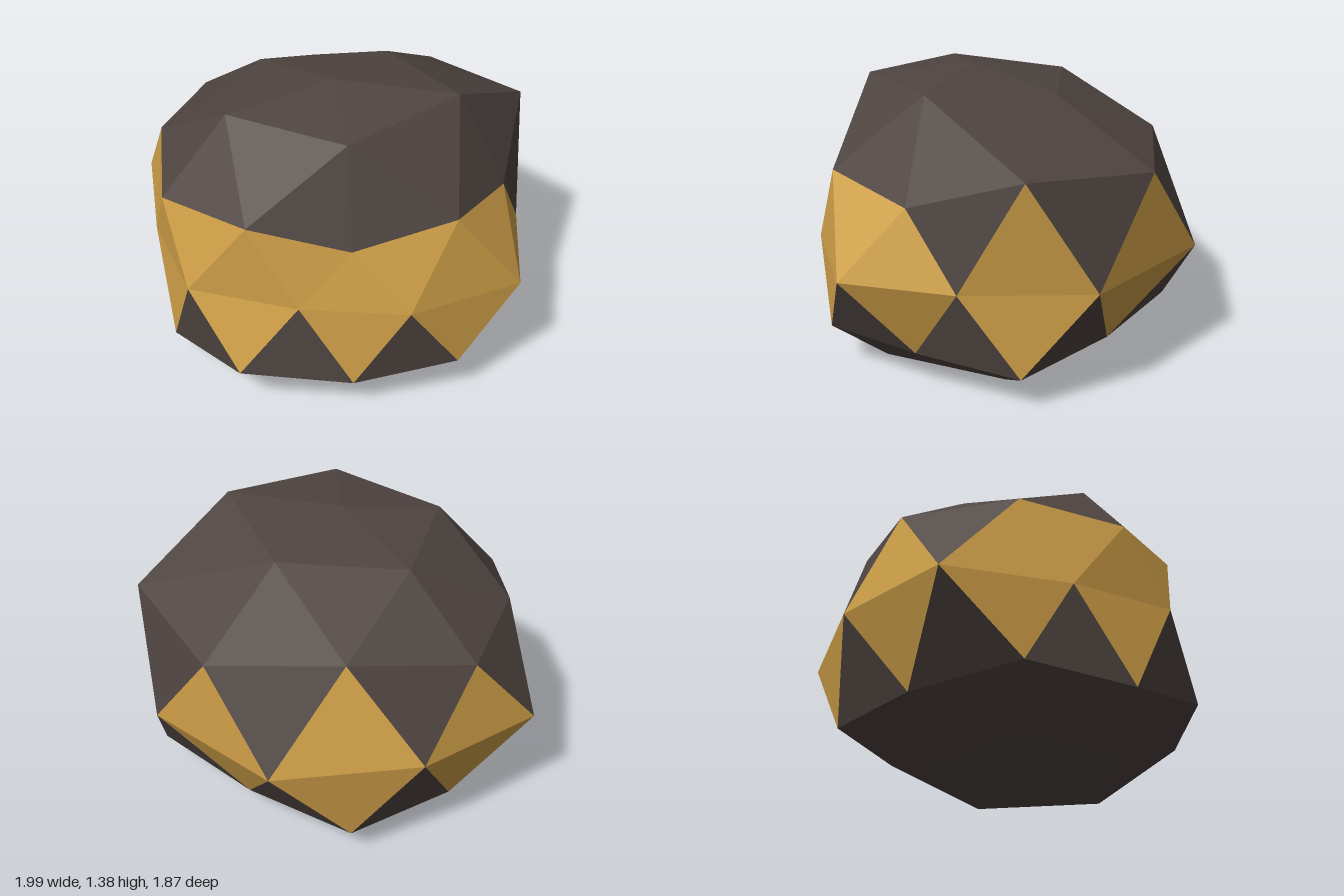
import * as THREE from 'three';

// Cross-section rings, ordered round the body from +x towards +z.
const topPole = [0.05, 1.38, 0.18];
const topRing = [[0.63, 1.37, 0.18], [0.22, 1.33, 0.65], [-0.37, 1.3, 0.46], [-0.37, 1.28, -0.13], [0.22, 1.31, -0.29]];
const shoulder = [
  [0.86, 0.93, 0.18], [0.7, 1.0, 0.61], [0.27, 0.88, 0.78], [-0.18, 0.98, 0.85], [-0.63, 0.94, 0.64],
  [-0.79, 1.02, 0.18], [-0.74, 0.99, -0.36], [-0.22, 1.07, -0.64], [0.38, 1.05, -0.79], [0.88, 1.12, -0.37],
];
const waist = [
  [0.99, 0.46], [0.54, 0.79], [0.05, 0.86], [-0.47, 0.83], [-0.77, 0.41],
  [-1, -0.14], [-0.59, -0.64], [0.05, -0.93], [0.71, -0.65], [0.93, -0.08],
].map(([x, z]) => [x, 0.59, z]);
const foot = [
  [0.81, 0.2, 0.18], [0.75, 0.23, 0.64], [0.3, 0.19, 0.85], [-0.21, 0.23, 0.94], [-0.62, 0.16, 0.66],
  [-0.83, 0.22, 0.2], [-0.65, 0.17, -0.32], [-0.27, 0.16, -0.72], [0.29, 0.16, -0.58], [0.84, 0.18, -0.34],
];
const baseRing = [[0.54, 0, 0.46], [-0.1, 0.03, 0.54], [-0.54, 0, 0.18], [-0.12, 0, -0.34], [0.57, 0, -0.17]];
const basePole = [0.05, 0, 0.18];

const at = (ring, i) => ring[(i + ring.length) % ring.length];
const middle = new THREE.Vector3(0, 0.65, 0.05);

// Adds one facet, turned so that it faces outwards.
function facet(list, a, b, c) {
  const [A, B, C] = [a, b, c].map((p) => new THREE.Vector3(...p));
  const normal = B.clone().sub(A).cross(C.clone().sub(A));
  const out = A.clone().add(B).add(C).divideScalar(3).sub(middle);
  list.push(...(normal.dot(out) > 0 ? [a, b, c] : [a, c, b]));
}

// Closes a ten-sided ring with a five-sided ring and a pole.
function cap(list, pole, ring, band, shift) {
  for (let k = 0; k < 5; k++) {
    const r = ring[k], next = at(ring, k + 1), m = 2 * k + shift;
    facet(list, pole, r, next);
    facet(list, r, next, at(band, m + 1));
    facet(list, r, at(band, m), at(band, m + 1));
    facet(list, r, at(band, m), at(band, m - 1));
  }
}

function makeMesh(name, list, material) {
  const geometry = new THREE.BufferGeometry();
  geometry.setAttribute('position', new THREE.Float32BufferAttribute(list.flat(), 3));
  geometry.computeVertexNormals();
  const mesh = new THREE.Mesh(geometry, material);
  mesh.name = name;
  return mesh;
}

export function createModel() {
  const stone = new THREE.MeshStandardMaterial({ color: 0x4f4541 });
  stone.name = 'darkStone';
  const gold = new THREE.MeshStandardMaterial({ color: 0xd0a048 });
  gold.name = 'gold';

  const crown = [], base = [], darkBand = [], goldBand = [];
  cap(crown, topPole, topRing, shoulder, 0);
  cap(base, basePole, baseRing, foot, 1);

  // Zigzag bands above and below the waist
  for (let j = 0; j < 10; j++) {
    const w = waist[j];
    facet(goldBand, at(waist, j - 1), w, shoulder[j]);
    facet(goldBand, at(waist, j - 1), w, foot[j]);
    facet(j < 5 ? goldBand : darkBand, w, shoulder[j], at(shoulder, j + 1));
    facet(darkBand, w, foot[j], at(foot, j + 1));
  }

  const group = new THREE.Group();
  group.name = 'facetedRock';
  group.add(
    makeMesh('crown', crown, stone),
    makeMesh('base', base, stone),
    makeMesh('darkFacets', darkBand, stone),
    makeMesh('goldFacets', goldBand, gold),
  );
  return group;
}
